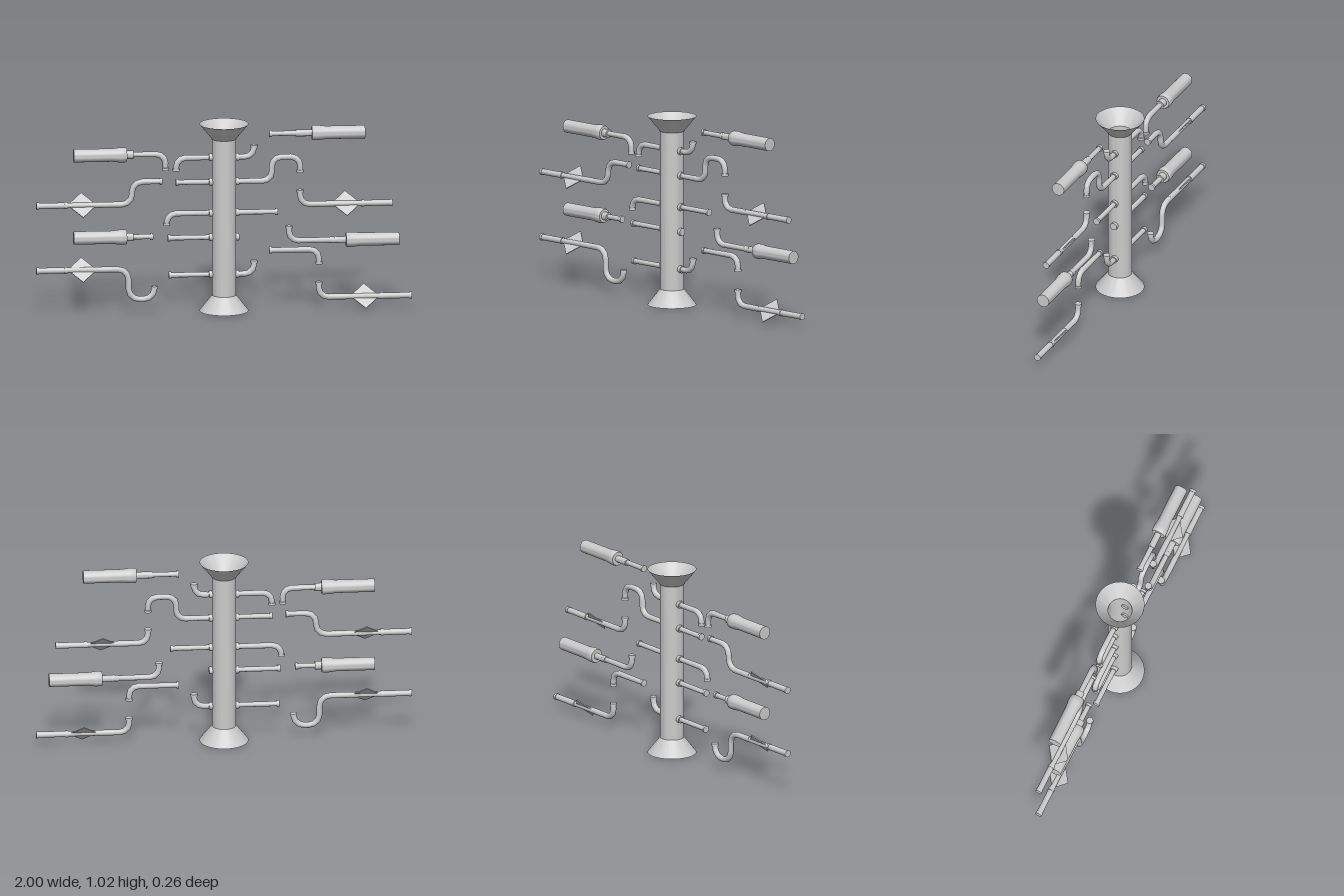
import * as THREE from 'three';
import { toCreasedNormals } from 'three/addons/utils/BufferGeometryUtils.js';

const material = new THREE.MeshStandardMaterial({ color: 0xcccccc });
const openMaterial = new THREE.MeshStandardMaterial({ color: 0xcccccc, side: THREE.DoubleSide });
const PIPE_R = 0.0135, ELBOW_R = 0.0155, COLLAR_R = 0.0185, COLLAR_L = 0.014, SIDES = 20;

function addMesh(parent, name, geometry, mat = material) {
  const mesh = new THREE.Mesh(geometry, mat);
  mesh.name = name;
  parent.add(mesh);
  return mesh;
}

// Polyline with every inner corner replaced by a short segmented arc
function roundCorners(points, bend) {
  const v = points.map(([x, y]) => new THREE.Vector2(x, y));
  const path = [{ p: v[0], r: PIPE_R }];
  for (let i = 1; i < v.length - 1; i++) {
    const a = v[i - 1].clone().sub(v[i]).normalize().multiplyScalar(bend);
    const b = v[i + 1].clone().sub(v[i]).normalize().multiplyScalar(bend);
    for (let k = 0; k <= 3; k++) {
      const t = (k / 3) * Math.PI / 2;
      const p = v[i].clone().addScaledVector(a, 1 - Math.sin(t)).addScaledVector(b, 1 - Math.cos(t));
      path.push({ p, r: ELBOW_R });
    }
  }
  path.push({ p: v[v.length - 1], r: PIPE_R });
  return path;
}

// Capped round sweep along a flat path, mitred at each joint
function sweep(path) {
  const pos = [], index = [], n = path.length;
  path.forEach(({ p, r }, i) => {
    const before = p.clone().sub(path[Math.max(i - 1, 0)].p).normalize();
    const after = path[Math.min(i + 1, n - 1)].p.clone().sub(p).normalize();
    const t = before.clone().add(after).normalize();
    const miter = i > 0 && i < n - 1 ? 1 / t.dot(after) : 1;
    for (let k = 0; k < SIDES; k++) {
      const a = (k / SIDES) * Math.PI * 2, c = Math.cos(a) * r * miter;
      pos.push(p.x - t.y * c, p.y + t.x * c, Math.sin(a) * r);
    }
  });
  const first = n * SIDES, last = first + 1;
  pos.push(path[0].p.x, path[0].p.y, 0, path[n - 1].p.x, path[n - 1].p.y, 0);
  for (let k = 0; k < SIDES; k++) {
    const k2 = (k + 1) % SIDES, end = (n - 1) * SIDES;
    for (let i = 0; i < n - 1; i++) {
      const a = i * SIDES + k, b = i * SIDES + k2;
      index.push(a, b, b + SIDES, a, b + SIDES, a + SIDES);
    }
    index.push(first, k2, k, last, end + k, end + k2);
  }
  const g = new THREE.BufferGeometry();
  g.setAttribute('position', new THREE.Float32BufferAttribute(pos, 3));
  g.setIndex(index);
  return toCreasedNormals(g, 0.6);
}

// Straight round sleeve between two points
function sleeve(parent, name, [x1, y1], [x2, y2], r) {
  const g = new THREE.CylinderGeometry(r, r, Math.hypot(x2 - x1, y2 - y1), SIDES);
  const m = addMesh(parent, name, g);
  m.position.set((x1 + x2) / 2, (y1 + y2) / 2, 0);
  m.rotation.z = Math.atan2(y2 - y1, x2 - x1) - Math.PI / 2;
}

// Pipe with a collar on each end
function pipe(parent, name, points, bend = 0.05) {
  const group = new THREE.Group();
  group.name = name;
  addMesh(group, 'tube', sweep(roundCorners(points, bend)));
  for (const [end, next] of [[points[0], points[1]], [points.at(-1), points.at(-2)]]) {
    const d = Math.hypot(next[0] - end[0], next[1] - end[1]);
    const inner = [0, 1].map((j) => end[j] + ((next[j] - end[j]) / d) * COLLAR_L);
    sleeve(group, 'collar', end, inner, COLLAR_R);
  }
  parent.add(group);
  return group;
}

// Silencer can lying along x; dir points to its closed outer end
function silencer(parent, x, y, dir, neck, neckR) {
  const profile = [[0, -neck], [neckR, -neck], [neckR, 0], [0.036, 0], [0.04, 0.008], [0.04, 0.035],
    [0.035, 0.075], [0.035, 0.283], [0, 0.283]].map(([r, h]) => new THREE.Vector2(r, h));
  const m = addMesh(parent, 'silencer', toCreasedNormals(new THREE.LatheGeometry(profile, 32), 0.5));
  m.position.set(x, y, 0);
  m.rotation.z = -dir * Math.PI / 2;
}

// Thin diamond valve plate tilted about the pipe
function valve(parent, x, y) {
  const m = addMesh(parent, 'valvePlate', new THREE.BoxGeometry(0.108, 0.112, 0.005).rotateZ(Math.PI / 4));
  m.position.set(x, y, 0);
  m.rotation.x = -Math.PI / 4;
}

export function createModel() {
  const model = new THREE.Group();
  model.name = 'pipeManifold';

  // Hollow central column flared at both ends
  const profile = [[0.13, 0], [0.064, 0.085], [0.064, 0.935], [0.13, 1.017]]
    .map(([r, h]) => new THREE.Vector2(r, h));
  addMesh(model, 'column', toCreasedNormals(new THREE.LatheGeometry(profile, 48), 0.5), openMaterial);

  // Branches fixed to the column, with a flange on the wall
  const branches = [
    [[-0.06, 0.835], [-0.255, 0.835], [-0.255, 0.765]],
    [[0.06, 0.835], [0.16, 0.835], [0.16, 0.9]],
    [[-0.06, 0.702], [-0.257, 0.702]],
    [[0.06, 0.702], [0.255, 0.702], [0.255, 0.83], [0.405, 0.83], [0.405, 0.745]],
    [[-0.06, 0.533], [-0.305, 0.533], [-0.305, 0.47]],
    [[0.06, 0.533], [0.287, 0.533]],
    [[-0.06, 0.4], [-0.3, 0.4]],
    [[-0.06, 0.198], [-0.295, 0.198]],
    [[0.06, 0.198], [0.16, 0.198], [0.16, 0.27]],
  ];
  for (const b of branches) {
    const s = Math.sign(b[0][0]), y = b[0][1];
    pipe(model, 'branchPipe', b);
    sleeve(model, 'flange', [s * 0.055, y], [s * 0.08, y], 0.02);
  }
  sleeve(model, 'branchStub', [0.055, 0.4], [0.08, 0.4], 0.02);

  // Loose connecting elbow
  pipe(model, 'loosePipe', [[0.24, 0.323], [0.505, 0.323], [0.505, 0.243]]);

  // Silencers with their inlet pipes
  pipe(model, 'silencerPipe', [[-0.312, 0.77], [-0.312, 0.858], [-0.5, 0.858]]);
  silencer(model, -0.518, 0.858, -1, 0.035, 0.022);
  pipe(model, 'silencerPipe', [[0.24, 0.958], [0.4, 0.958]]);
  silencer(model, 0.467, 0.958, 1, 0.085, 0.018);
  pipe(model, 'silencerPipe', [[-0.378, 0.41], [-0.5, 0.41]]);
  silencer(model, -0.518, 0.41, -1, 0.035, 0.022);
  pipe(model, 'silencerPipe', [[0.346, 0.455], [0.346, 0.373], [0.6, 0.373]]);
  silencer(model, 0.649, 0.373, 1, 0.085, 0.017);

  // Valve pipes: path ends at the outer tip, then valve centre x
  const valvePipes = [
    [[[-0.328, 0.71], [-0.49, 0.71], [-0.49, 0.588], [-1, 0.588]], -0.755, 0.055],
    [[[0.405, 0.65], [0.405, 0.57], [0.897, 0.57]], 0.65, 0.05],
    [[[-0.37, 0.14], [-0.37, 0.07], [-0.508, 0.07], [-0.508, 0.235], [-1, 0.235]], -0.755, 0.058],
    [[[0.505, 0.147], [0.505, 0.063], [1, 0.063]], 0.75, 0.05],
  ];
  for (const [points, x, bend] of valvePipes) {
    const [tip, y] = points.at(-1), s = Math.sign(tip);
    pipe(model, 'valvePipe', points, bend);
    sleeve(model, 'outletSleeve', [x + s * 0.08, y], [tip, y], 0.016);
    sleeve(model, 'sleeveCollar', [x + s * 0.08, y], [x + s * 0.094, y], COLLAR_R);
    sleeve(model, 'inletSleeve', [x - s * 0.08, y], [x - s * 0.16, y], 0.0155);
    valve(model, x, y);
  }
  return model;
}
